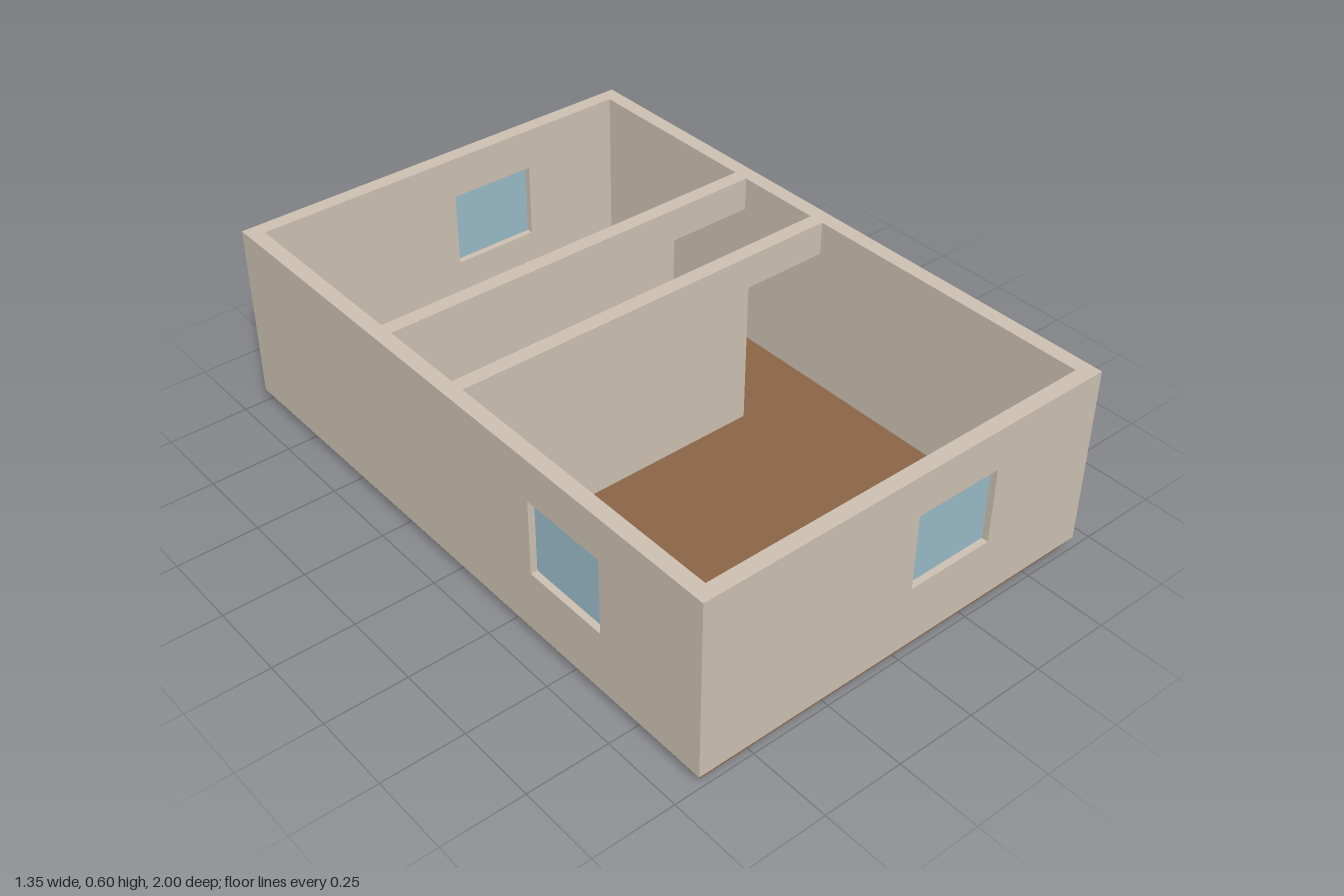
import * as THREE from 'three';

const W = 1.35, L = 2, T = 0.047;      // outer width, outer length, wall thickness
const FLOOR = 0.04, H = 0.56;          // slab height, wall height
const INNER = W / 2 - T;               // inner half width

export function createModel() {
  const wallMat = new THREE.MeshStandardMaterial({ color: 0xcbbfb0 });
  wallMat.name = 'wall plaster';
  const floorMat = new THREE.MeshStandardMaterial({ color: 0x8a6347 });
  floorMat.name = 'wood floor';
  const glassMat = new THREE.MeshStandardMaterial({ color: 0x98b9c7 });
  glassMat.name = 'window glass';

  const model = new THREE.Group();
  model.name = 'house';

  // Window opening, measured from the wall foot
  const win = { w: 0.28, y0: 0.192, y1: 0.43 };

  // Upright wall centred on its own thickness, with an optional window
  function addWall(name, length, x, z, turn, winX) {
    const wall = new THREE.Group();
    wall.name = name;
    const h = length / 2;
    const shape = new THREE.Shape([[-h, 0], [h, 0], [h, H], [-h, H]].map(p => new THREE.Vector2(...p)));
    if (winX !== undefined) {
      const a = winX - win.w / 2, b = winX + win.w / 2;
      shape.holes.push(new THREE.Path(
        [[a, win.y0], [a, win.y1], [b, win.y1], [b, win.y0]].map(p => new THREE.Vector2(...p))));
      const glass = new THREE.Mesh(new THREE.BoxGeometry(win.w, win.y1 - win.y0, 0.006), glassMat);
      glass.name = name + 'Glass';
      glass.position.set(winX, (win.y0 + win.y1) / 2, 0);
      wall.add(glass);
    }
    wall.add(extrude(shape, name + 'Panel'));
    wall.position.set(x, FLOOR, z);
    wall.rotation.y = turn;
    model.add(wall);
  }

  function extrude(shape, name) {
    const geo = new THREE.ExtrudeGeometry(shape, { depth: T, bevelEnabled: false });
    geo.translate(0, 0, -T / 2);
    const mesh = new THREE.Mesh(geo, wallMat);
    mesh.name = name;
    return mesh;
  }

  // Floor slab, reaching the middle of the outer walls
  const floor = new THREE.Mesh(new THREE.BoxGeometry(W - T, FLOOR, L - T), floorMat);
  floor.name = 'floor';
  floor.position.y = FLOOR / 2;
  model.add(floor);

  // Outer walls
  const endZ = (L - T) / 2, sideX = (W - T) / 2;
  addWall('frontWall', W, 0, endZ, 0, 0.162);
  addWall('backWall', W, 0, -endZ, 0, 0.162);
  addWall('leftWall', L - 2 * T, sideX, 0, Math.PI / 2);
  addWall('rightWall', L - 2 * T, -sideX, 0, Math.PI / 2, -0.488);

  // Partitions with a doorway against the left wall
  const doorX = INNER - 0.28, doorTop = 0.455;
  [['frontPartition', -0.003], ['backPartition', -0.328]].forEach(([name, z]) => {
    const shape = new THREE.Shape([
      [-INNER, 0], [doorX, 0], [doorX, doorTop], [INNER, doorTop], [INNER, H], [-INNER, H],
    ].map(p => new THREE.Vector2(...p)));
    const mesh = extrude(shape, name);
    mesh.position.set(0, FLOOR, z);
    model.add(mesh);
  });

  return model;
}
